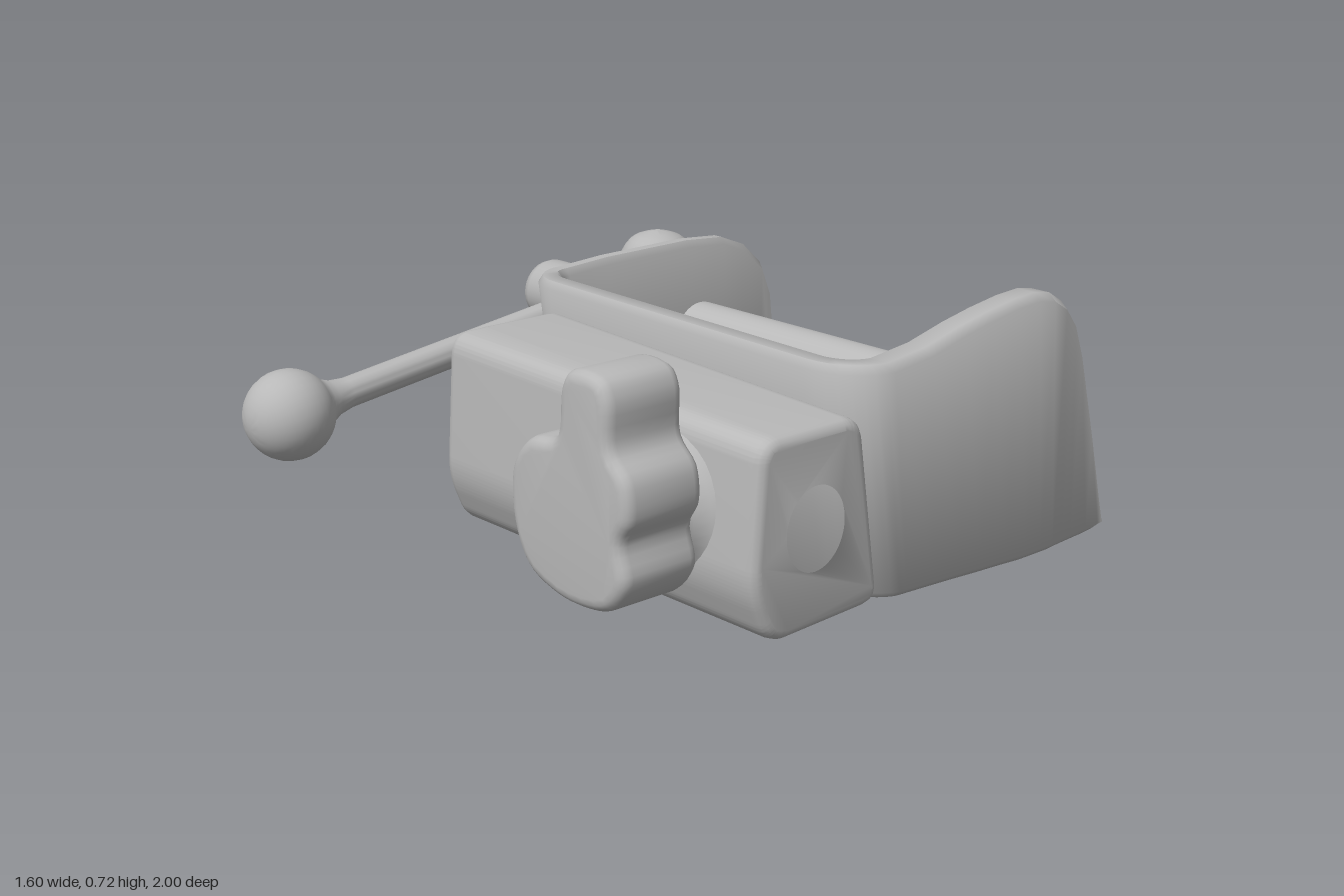
import * as THREE from 'three';
import { toCreasedNormals } from 'three/addons/utils/BufferGeometryUtils.js';

const V2 = (p) => new THREE.Vector2(p[0], p[1]);
const V3 = (x, y, z) => new THREE.Vector3(x, y, z);

// smooth closed outline through a few points
function outline(pts, n = 72) {
  const loop = new THREE.CatmullRomCurve3(pts.map((p) => V3(p[0], p[1], 0)), true, 'centripetal');
  return new THREE.Shape(loop.getPoints(n).slice(0, n).map((p) => new THREE.Vector2(p.x, p.y)));
}

// polygon with rounded corners
function roundedPolygon(pts, r) {
  const s = new THREE.Shape();
  pts.forEach((p, i) => {
    const a = V2(pts[(i + pts.length - 1) % pts.length]), b = V2(p), c = V2(pts[(i + 1) % pts.length]);
    const p0 = b.clone().add(a.sub(b).setLength(r)), p1 = b.clone().add(c.sub(b).setLength(r));
    if (i) s.lineTo(p0.x, p0.y); else s.moveTo(p0.x, p0.y);
    s.quadraticCurveTo(b.x, b.y, p1.x, p1.y);
  });
  s.closePath();
  return s;
}

// U-shaped strap: rings along the plan path, each with its own bottom and top
function strapGeometry() {
  const rings = []; // [outer x, outer z, inner x, inner z, bottom, top]
  const back = [[0.745, 0.33, 0.37], [0.735, 0.24, 0.46], [0.70, 0.155, 0.545], [0.63, 0.09, 0.61],
    [0.54, 0.055, 0.645], [0.4, 0.045, 0.655], [0.1, 0.04, 0.65]];
  const front = [[0.08, 0.02, 0.65], [0.2, 0.015, 0.68], [0.3, 0.01, 0.7], [0.4, 0.005, 0.715],
    [0.48, 0, 0.72], [0.54, 0, 0.71], [0.59, 0, 0.68], [0.63, 0.003, 0.63], [0.665, 0.005, 0.54],
    [0.73, 0.008, 0.31], [0.78, 0.012, 0.12], [0.795, 0.02, 0.06], [0.8, 0.032, 0.04]];
  for (const [x, b, t] of back) rings.push([x, -0.29, x, -0.235, b, t]);
  const corner = (cz, sign, ro, ri, b, t) => {
    for (let i = 0; i <= 8; i++) {
      const a = (sign < 0 ? 8 - i : i) / 8 * Math.PI / 2;
      const c = Math.cos(a), s = Math.sin(a) * sign;
      rings.push([-0.05 - 0.14 * c, cz + ro * s, -0.05 - 0.06 * c, cz + ri * s, b, t]);
    }
  };
  corner(-0.15, -1, 0.14, 0.085, 0.035, 0.64);
  corner(0.83, 1, 0.17, 0.07, 0.025, 0.635);
  for (const [x, b, t] of front) rings.push([x, 1, x, 0.9, b, t]);

  const pos = [], idx = [];
  rings.forEach(([ox, oz, ix, iz, b, t]) => {
    const c = Math.min(0.02, (t - b) / 3);
    for (const [u, y] of [[0, b + c], [0, t - c], [0.22, t], [0.78, t], [1, t - c], [1, b + c], [0.78, b], [0.22, b]]) {
      const x = ox + (ix - ox) * u;
      // the spine leans outward toward its top
      const lean = 0.09 * (1 - y / 0.64) * Math.max(0, 1 - Math.max(0, x + 0.1) / 0.4);
      pos.push(x + lean, y, oz + (iz - oz) * u);
    }
  });
  const last = (rings.length - 1) * 8;
  for (let i = 0; i < last; i += 8) {
    for (let j = 0; j < 8; j++) {
      const k = (j + 1) % 8;
      idx.push(i + j, i + 8 + j, i + k, i + k, i + 8 + j, i + 8 + k);
    }
  }
  for (let j = 1; j < 7; j++) idx.push(0, j, j + 1, last, last + j + 1, last + j);
  const g = new THREE.BufferGeometry();
  g.setAttribute('position', new THREE.Float32BufferAttribute(pos, 3));
  g.setIndex(idx);
  return toCreasedNormals(g, 0.9);
}

// square tube with a round bore, a little wider toward the outside at the back
function socketGeometry() {
  const s = roundedPolygon([[-0.475, 0.53], [-0.15, 0.53], [-0.07, 0.04], [-0.44, 0.025], [-0.5, 0.17]], 0.06);
  const bore = new THREE.Path();
  bore.absellipse(-0.3, 0.285, 0.12, 0.132, 0, Math.PI * 2, true);
  s.holes.push(bore);
  const g = new THREE.ExtrudeGeometry(s, {
    depth: 1.09, bevelThickness: 0.03, bevelSize: 0.025, bevelOffset: -0.025, bevelSegments: 3, curveSegments: 32,
  });
  g.translate(0, 0, -0.12);
  const p = g.attributes.position;
  for (let i = 0; i < p.count; i++) {
    const k = (1 - p.getZ(i)) / 1.15, x = p.getX(i), y = p.getY(i);
    if (x < -0.43 || x > -0.17) p.setX(i, x - 0.05 * k);
    if (y > 0.43) p.setY(i, y + 0.03 * k);
  }
  return toCreasedNormals(g, 0.7);
}

// star-shaped grip, drawn in the z-y plane
function starGripGeometry() {
  const s = outline([[0.67, 0.65], [0.70, 0.695], [0.81, 0.695], [0.84, 0.65], [0.845, 0.54], [0.9, 0.48],
    [0.91, 0.39], [0.88, 0.33], [0.9, 0.24], [0.84, 0.16], [0.74, 0.135], [0.64, 0.14], [0.54, 0.18],
    [0.485, 0.28], [0.485, 0.42], [0.55, 0.5], [0.65, 0.53]]);
  const g = new THREE.ExtrudeGeometry(s, {
    depth: 0.17, bevelThickness: 0.03, bevelSize: 0.03, bevelOffset: -0.03, bevelSegments: 4,
  });
  g.rotateY(-Math.PI / 2).translate(-0.6, 0, 0);
  return toCreasedNormals(g, 0.7);
}

export function createModel() {
  const model = new THREE.Group();
  const grey = new THREE.MeshStandardMaterial({ color: 0xb8b8b8 });
  grey.name = 'grey metal';

  const add = (name, geometry) => {
    const m = new THREE.Mesh(geometry, grey);
    m.name = name;
    model.add(m);
    return m;
  };
  // turned part whose axis runs from one point toward another
  const turned = (name, profile, from, to, sides = 32) => {
    const g = new THREE.LatheGeometry(profile.map(V2), sides);
    const m = add(name, toCreasedNormals(g, 0.8));
    m.position.copy(from);
    m.quaternion.setFromUnitVectors(V3(0, 1, 0), to.clone().sub(from).normalize());
    return m;
  };

  add('clampBracket', strapGeometry());
  add('socketTube', socketGeometry());
  add('starGrip', starGripGeometry());

  // flared neck between the tube and the star grip
  turned('gripNeck', [[0.13, 0], [0.13, 0.04], [0.14, 0.07], [0.17, 0.1], [0.21, 0.125], [0, 0.14]],
    V3(-0.6, 0.31, 0.69), V3(0, 0.31, 0.69));

  // clamping screw
  turned('clampScrew', [[0, 0], [0.094, 0], [0.094, 1.18], [0.1, 1.2], [0.1, 1.89], [0.092, 1.915], [0.075, 1.93], [0, 1.93]],
    V3(0.445, 0.38, 0.93), V3(0.45, 0.36, -1));

  // lever with a ball end
  const lever = [[0, 0], [0.046, 0], [0.046, 0.9], [0.054, 0.95], [0.066, 0.975]];
  for (let i = 0; i <= 14; i++) {
    const a = -1.0 + (1.0 + Math.PI / 2) * i / 14;
    lever.push([Math.max(0, 0.135 * Math.cos(a)), 1.1 + 0.135 * Math.sin(a)]);
  }
  turned('leverArm', lever, V3(0.45, 0.35, -0.8), V3(-0.64, 0.195, -0.8), 28);

  // two-lobed knob beside the screw
  const lobes = new THREE.SplineCurve([[0, 0.13], [0.075, 0.15], [0.122, 0.21], [0.13, 0.28], [0.112, 0.355],
    [0.122, 0.43], [0.12, 0.5], [0.08, 0.56], [0, 0.585]].map(V2)).getPoints(28);
  turned('sideKnob', lobes.map((p) => [Math.max(0, p.x), p.y]), V3(0.645, 0, -0.66), V3(0.645, 1, -0.66), 24);

  return model;
}
